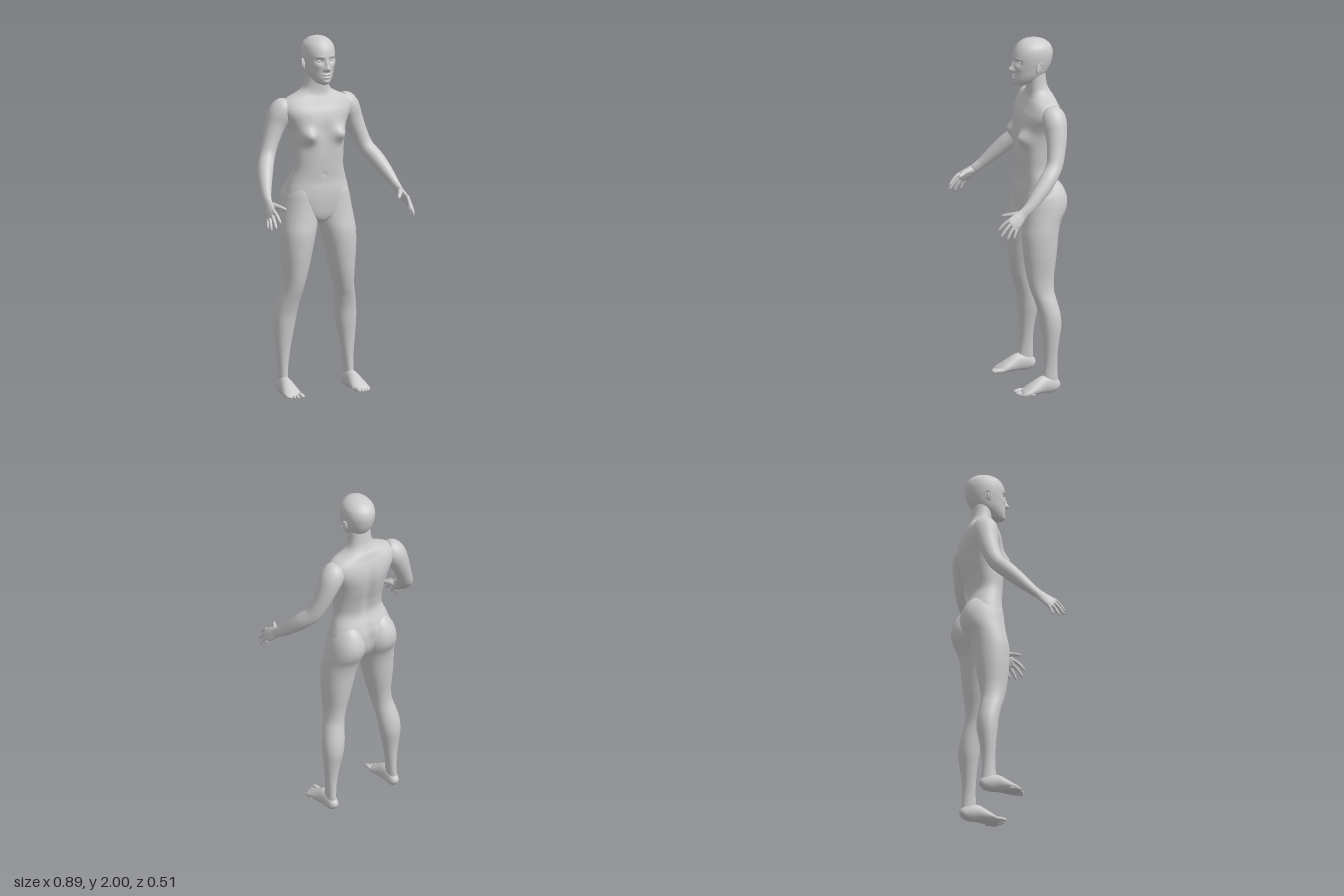
import * as THREE from 'three';

const skinMat = new THREE.MeshStandardMaterial({ color: 0xcccccc });
skinMat.name = 'grey';

// Catmull-Rom interpolation over rows of numbers
function sample(rows, t) {
  const n = rows.length - 1;
  const i = Math.min(Math.floor(t * n), n - 1);
  const f = t * n - i;
  const r = k => rows[Math.max(0, Math.min(n, k))];
  return rows[i].map((p1, k) => {
    const p0 = r(i - 1)[k], p2 = r(i + 1)[k], p3 = r(i + 2)[k];
    return p1 + 0.5 * f * (p2 - p0 + f * (2 * p0 - 5 * p1 + 4 * p2 - p3 + f * (3 * (p1 - p2) + p3 - p0)));
  });
}

// Smooth skin over elliptical sections [x, y, z, a, b].
// Without ref the sections lie flat and rise in y; with ref they follow the path.
function loft(rows, { ref, rings = 48, sides = 32, power = 1, shape } = {}) {
  const pos = [], idx = [];
  const at = t => new THREE.Vector3(...sample(rows, t).slice(0, 3));
  const round = v => Math.sign(v) * Math.abs(v) ** power;
  const put = p => { if (shape) shape(p); pos.push(p.x, p.y, p.z); };
  for (let i = 0; i <= rings; i++) {
    const t = i / rings;
    const c = at(t), [, , , a, b] = sample(rows, t);
    const U = new THREE.Vector3(1, 0, 0), V = new THREE.Vector3(0, 0, -1);
    if (ref) {
      const T = at(Math.min(1, t + 0.02)).sub(at(Math.max(0, t - 0.02))).normalize();
      U.crossVectors(ref, T).normalize();
      V.crossVectors(T, U);
    }
    for (let j = 0; j < sides; j++) {
      const w = j / sides * Math.PI * 2;
      put(c.clone().addScaledVector(U, Math.max(a, 0.001) * round(Math.cos(w)))
        .addScaledVector(V, Math.max(b, 0.001) * round(Math.sin(w))));
    }
  }
  put(at(0));
  put(at(1));
  const start = (rings + 1) * sides;
  for (let j = 0; j < sides; j++) {
    const k = (j + 1) % sides;
    for (let i = 0; i < rings; i++) {
      const a = i * sides + j, b = i * sides + k;
      idx.push(a, b, a + sides, b, b + sides, a + sides);
    }
    idx.push(start, k, j, start + 1, rings * sides + j, rings * sides + k);
  }
  const g = new THREE.BufferGeometry();
  g.setAttribute('position', new THREE.Float32BufferAttribute(pos, 3));
  g.setIndex(idx);
  g.computeVertexNormals();
  return g;
}

// Copy across x = 0 with the winding reversed
function mirrored(geo) {
  const g = geo.clone().scale(-1, 1, 1);
  const a = g.index.array;
  for (let i = 0; i < a.length; i += 3) [a[i], a[i + 1]] = [a[i + 1], a[i]];
  g.computeVertexNormals();
  return g;
}

// Soft swellings [x, y, sx, sy, depth] pushed along z
const swell = (p, list) => list.reduce((s, [x, y, sx, sy, d]) =>
  s + d * Math.exp(-(((p.x - x) / sx) ** 2) - ((p.y - y) / sy) ** 2), 0);
const step = THREE.MathUtils.smoothstep;

// Rows [y, halfWidth, front, back] to centred sections
const centred = rows => rows.map(([y, w, f, b]) => [0, y, (f + b) / 2, w, (f - b) / 2]);

// Finger or toe with a rounded tip
function digit(base, tip, r, ref, bend = 0) {
  const at = t => [0, 1, 2].map(k => base[k] + (tip[k] - base[k]) * t + (k === 1 ? bend * Math.sin(Math.PI * t) : 0));
  return loft([[0, 1], [0.3, 1], [0.6, 0.95], [0.85, 0.85], [0.96, 0.55], [1, 0.1]]
    .map(([t, s]) => [...at(t), r * s, r * s]), { ref, rings: 20, sides: 14 });
}

export function createModel() {
  const model = new THREE.Group();
  model.name = 'figure';
  const add = (name, geo) => {
    const m = new THREE.Mesh(geo, skinMat);
    m.name = name;
    model.add(m);
  };
  const pair = (name, geo) => {
    add('left' + name, geo);
    add('right' + name, mirrored(geo));
  };
  const Y = new THREE.Vector3(0, 1, 0), Z = new THREE.Vector3(0, 0, 1);

  // Trunk and neck
  add('torso', loft(centred([
    [0.955, 0.02, -0.06, -0.12], [0.97, 0.05, -0.03, -0.16], [1.0, 0.12, -0.015, -0.19],
    [1.05, 0.17, -0.008, -0.215], [1.1, 0.188, -0.005, -0.225], [1.15, 0.181, -0.006, -0.225],
    [1.2, 0.166, -0.01, -0.208], [1.27, 0.145, -0.005, -0.18], [1.35, 0.148, 0, -0.192],
    [1.42, 0.153, 0.002, -0.213], [1.48, 0.163, 0, -0.228], [1.53, 0.183, -0.003, -0.235],
    [1.58, 0.207, -0.016, -0.232], [1.62, 0.207, -0.036, -0.222], [1.65, 0.175, -0.05, -0.21],
    [1.675, 0.12, -0.06, -0.2], [1.7, 0.083, -0.062, -0.185], [1.74, 0.067, -0.06, -0.17],
    [1.82, 0.06, -0.055, -0.16],
  ]), {
    rings: 110, sides: 80, power: 0.88, shape(p) {
      const front = step(p.z, -0.09, -0.03), back = 1 - step(p.z, -0.19, -0.13);
      p.z += front * swell(p, [[0.098, 1.455, 0.042, 0.042, 0.042], [-0.098, 1.455, 0.042, 0.042, 0.042],
        [0, 1.46, 0.03, 0.1, -0.008], [0, 1.235, 0.012, 0.01, -0.006]]);
      p.z += back * swell(p, [[0, 1.4, 0.025, 0.2, 0.016], [0, 1.12, 0.02, 0.08, 0.015]]);
    },
  }));

  // Head with face modelled into the front
  const bothSides = ([x, ...r]) => [[x, ...r], [-x, ...r]];
  const face = [
    [0, 1.833, 0.013, 0.014, 0.024], [0, 1.858, 0.01, 0.024, 0.012],
    ...bothSides([0.013, 1.827, 0.008, 0.008, 0.008]),
    ...bothSides([0.036, 1.876, 0.019, 0.013, -0.013]),
    ...bothSides([0.036, 1.899, 0.024, 0.008, 0.004]),
    ...bothSides([0.045, 1.845, 0.02, 0.018, 0.005]),
    [0, 1.798, 0.022, 0.007, 0.008], [0, 1.783, 0.019, 0.007, 0.008],
    [0, 1.791, 0.024, 0.0025, -0.005], [0, 1.758, 0.02, 0.013, 0.008],
  ];
  add('head', loft(centred([
    [1.737, 0.012, -0.01, -0.06], [1.746, 0.034, 0.01, -0.09], [1.77, 0.054, 0.018, -0.13],
    [1.8, 0.069, 0.018, -0.165], [1.84, 0.079, 0.018, -0.19], [1.88, 0.086, 0.019, -0.203],
    [1.92, 0.087, 0.016, -0.207], [1.955, 0.079, 0.001, -0.195], [1.98, 0.058, -0.022, -0.168],
    [1.994, 0.033, -0.05, -0.135], [2.0, 0.004, -0.088, -0.096],
  ]), { rings: 110, sides: 120, power: 0.95, shape(p) { p.z += step(p.z, -0.06, -0.015) * swell(p, face); } }));
  pair('Eye', new THREE.SphereGeometry(0.012, 20, 14).scale(1.1, 0.65, 0.8).translate(0.036, 1.876, -0.004));

  // Ears: a shell with a raised rim
  pair('Ear', new THREE.SphereGeometry(1, 20, 14).scale(0.008, 0.03, 0.018)
    .rotateY(0.4).rotateX(-0.15).translate(0.087, 1.847, -0.097));
  pair('EarRim', new THREE.TorusGeometry(0.019, 0.0045, 10, 28, 4.6).rotateZ(-0.7)
    .scale(0.85, 1.35, 1).rotateY(Math.PI / 2 + 0.4).rotateX(-0.15).translate(0.092, 1.849, -0.1));

  // Legs, rows of [y, inner x, outer x, front, back], rising into the buttocks
  pair('Leg', loft([
    [0.03, 0.177, 0.227, -0.09, -0.165], [0.08, 0.177, 0.227, -0.085, -0.168],
    [0.15, 0.172, 0.228, -0.09, -0.165], [0.22, 0.162, 0.233, -0.09, -0.167],
    [0.3, 0.147, 0.241, -0.085, -0.177], [0.38, 0.13, 0.247, -0.076, -0.19],
    [0.45, 0.12, 0.244, -0.068, -0.187], [0.52, 0.111, 0.23, -0.05, -0.172],
    [0.58, 0.101, 0.214, -0.03, -0.16], [0.65, 0.085, 0.209, -0.013, -0.162],
    [0.72, 0.067, 0.213, -0.003, -0.172], [0.8, 0.049, 0.219, 0.005, -0.183],
    [0.9, 0.025, 0.22, 0.008, -0.195], [0.97, 0.008, 0.214, -0.002, -0.213],
    [1.03, 0.003, 0.207, -0.01, -0.244], [1.08, 0.004, 0.2, -0.015, -0.254],
    [1.13, 0.015, 0.187, -0.02, -0.245], [1.18, 0.035, 0.16, -0.035, -0.217],
    [1.21, 0.06, 0.13, -0.06, -0.18],
  ].map(([y, i, o, f, b]) => [(i + o) / 2, y, (f + b) / 2, (o - i) / 2, (f - b) / 2]),
  { rings: 90, sides: 48, power: 0.95 }));

  // Feet with flat soles, and toes
  pair('Foot', loft([
    [0.201, 0.028, -0.176, 0.008, 0.01], [0.201, 0.034, -0.165, 0.025, 0.03],
    [0.202, 0.045, -0.13, 0.032, 0.048], [0.203, 0.05, -0.085, 0.036, 0.05],
    [0.206, 0.035, -0.03, 0.046, 0.036], [0.208, 0.022, 0.01, 0.051, 0.024],
    [0.207, 0.015, 0.035, 0.048, 0.014], [0.206, 0.013, 0.044, 0.04, 0.006],
  ], { ref: Y, shape(p) { p.y = Math.max(p.y, 0); } }));
  [[0.172, 0.078, 0.0135], [0.196, 0.074, 0.0095], [0.215, 0.066, 0.009], [0.233, 0.055, 0.0085], [0.248, 0.04, 0.008]]
    .forEach(([x, z, r], i) => pair('Toe' + (i + 1), digit([x, r + 0.004, z - 0.06], [x + 0.002, r, z], r, Y, 0.004)));

  // Arms, from the shoulder to the wrist
  pair('Arm', loft([
    [0.16, 1.625, -0.14, 0.035, 0.04], [0.185, 1.605, -0.143, 0.06, 0.063],
    [0.21, 1.565, -0.147, 0.066, 0.068], [0.238, 1.505, -0.147, 0.056, 0.06],
    [0.272, 1.42, -0.135, 0.046, 0.051], [0.303, 1.345, -0.112, 0.043, 0.045],
    [0.34, 1.285, -0.06, 0.043, 0.046], [0.37, 1.222, 0, 0.036, 0.04],
    [0.393, 1.163, 0.06, 0.025, 0.031], [0.402, 1.13, 0.105, 0.018, 0.027],
  ], { ref: Z, rings: 70 }));

  // Hands: palm, four fingers and thumb
  pair('Palm', loft([
    [0.4, 1.143, 0.085, 0.018, 0.026], [0.405, 1.122, 0.115, 0.017, 0.03],
    [0.412, 1.103, 0.14, 0.016, 0.037], [0.419, 1.086, 0.163, 0.013, 0.039],
    [0.423, 1.075, 0.178, 0.01, 0.035], [0.425, 1.071, 0.184, 0.004, 0.026],
  ], { ref: Z, rings: 32 }));
  [
    ['IndexFinger', [0.412, 1.108, 0.182], [0.4, 1.045, 0.25], 0.0095],
    ['MiddleFinger', [0.419, 1.09, 0.174], [0.422, 1.015, 0.242], 0.0098],
    ['RingFinger', [0.426, 1.071, 0.163], [0.436, 1.0, 0.21], 0.0092],
    ['LittleFinger', [0.43, 1.056, 0.148], [0.44, 1.003, 0.172], 0.008],
  ].forEach(([name, base, tip, r]) => pair(name, digit(base, tip, r, Z, 0.008)));
  pair('Thumb', loft([
    [0.405, 1.125, 0.105, 0.014, 0.016], [0.39, 1.125, 0.135, 0.015, 0.017],
    [0.372, 1.122, 0.168, 0.011, 0.012], [0.355, 1.115, 0.195, 0.01, 0.01],
    [0.347, 1.111, 0.208, 0.006, 0.007], [0.345, 1.11, 0.212, 0.001, 0.001],
  ], { ref: Y, rings: 28, sides: 18 }));

  return model;
}
